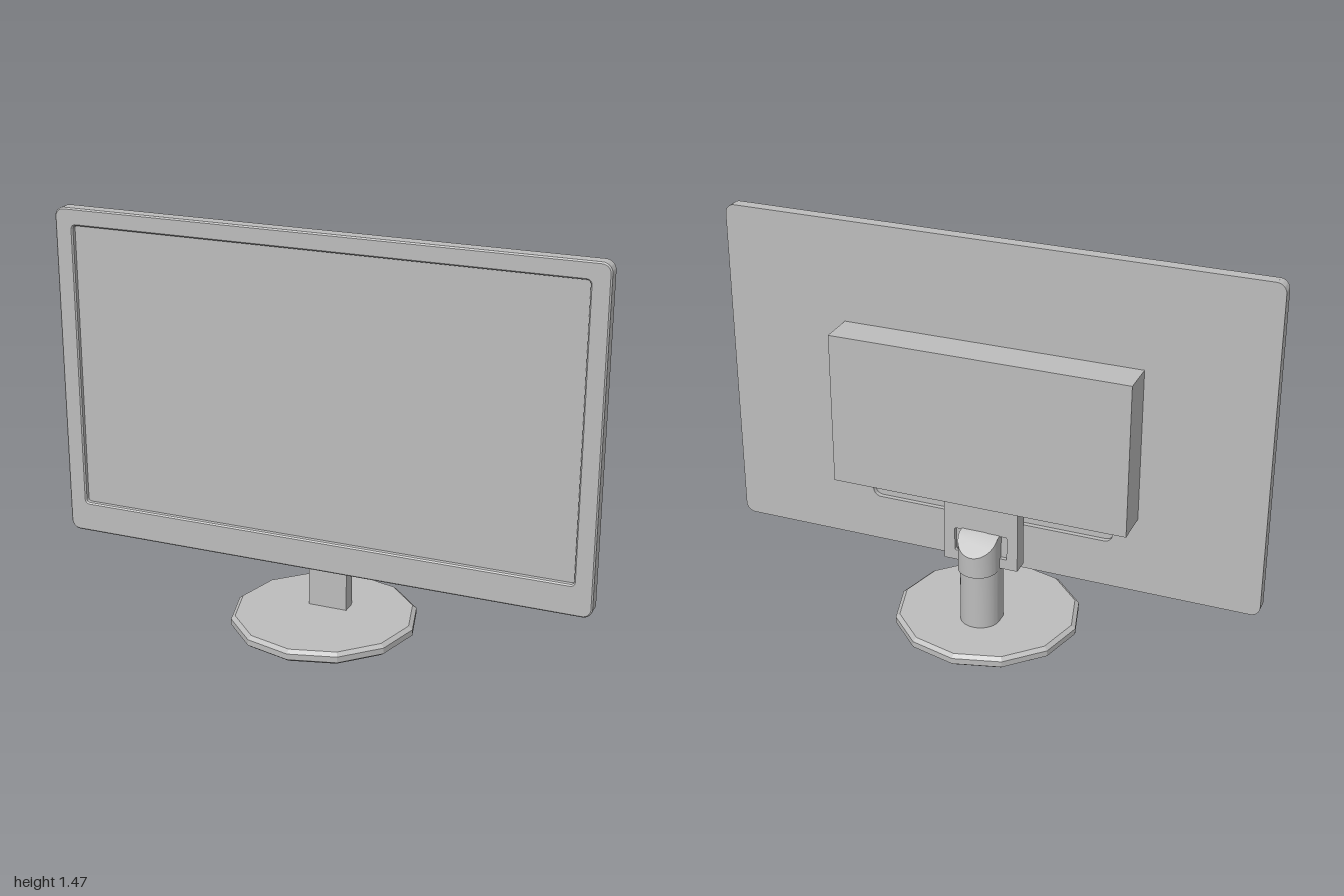
import * as THREE from 'three';
import { toCreasedNormals } from 'three/addons/utils/BufferGeometryUtils.js';

const grey = new THREE.MeshStandardMaterial({ color: 0xbcbcbc });
grey.name = 'plain grey';

// Rounded rectangle outline between two corners
function roundedRect(x0, y0, x1, y1, r, Type = THREE.Shape) {
  const s = new Type();
  s.moveTo(x0 + r, y0);
  s.lineTo(x1 - r, y0);
  s.absarc(x1 - r, y0 + r, r, -Math.PI / 2, 0);
  s.lineTo(x1, y1 - r);
  s.absarc(x1 - r, y1 - r, r, 0, Math.PI / 2);
  s.lineTo(x0 + r, y1);
  s.absarc(x0 + r, y1 - r, r, Math.PI / 2, Math.PI);
  s.lineTo(x0, y0 + r);
  s.absarc(x0 + r, y0 + r, r, Math.PI, Math.PI * 1.5);
  return s;
}

// D-shaped outline: flat front, half-round back (shape y is -z)
function dShape(r, front, centre) {
  const s = new THREE.Shape();
  s.moveTo(-r, -front);
  s.lineTo(r, -front);
  s.lineTo(r, -centre);
  s.absarc(0, -centre, r, 0, Math.PI);
  s.lineTo(-r, -front);
  return s;
}

// Straight extrusion from z0 to z1
function slab(shape, z0, z1) {
  return new THREE.ExtrudeGeometry(shape, { depth: z1 - z0, bevelEnabled: false, curveSegments: 8 })
    .translate(0, 0, z0);
}

// Upright extrusion from y0 to y1
function upright(shape, y0, y1) {
  return new THREE.ExtrudeGeometry(shape, { depth: y1 - y0, bevelEnabled: false, curveSegments: 16 })
    .rotateX(-Math.PI / 2).translate(0, y0, 0);
}

function box(x0, x1, y0, y1, z0, z1) {
  return new THREE.BoxGeometry(x1 - x0, y1 - y0, z1 - z0)
    .translate((x0 + x1) / 2, (y0 + y1) / 2, (z0 + z1) / 2);
}

export function createModel() {
  const group = new THREE.Group();
  group.name = 'monitor';
  const add = (name, geometry, crease = 0.6) => {
    const mesh = new THREE.Mesh(toCreasedNormals(geometry, crease), grey);
    mesh.name = name;
    group.add(mesh);
  };

  // Front frame with a small bevel around the sunken screen
  const b = 0.005;
  const frame = roundedRect(-1 + b, 0.233 + b, 1 - b, 1.465 - b, 0.03);
  frame.holes.push(roundedRect(-0.932 - b, 0.347 - b, 0.932 + b, 1.402 + b, 0.018, THREE.Path));
  add('frontFrame', new THREE.ExtrudeGeometry(frame, {
    depth: 0.02, bevelThickness: b, bevelSize: b, bevelSegments: 1, curveSegments: 8,
  }).translate(0, 0, 0.045));

  // Screen plate and rear shell with a shallow recess
  const outline = () => roundedRect(-1, 0.233, 1, 1.465, 0.035);
  add('screenPlate', slab(outline(), 0.038, 0.05));
  const shell = outline();
  shell.holes.push(roundedRect(-0.46, 0.41, 0.46, 0.8, 0.03, THREE.Path));
  add('rearShell', slab(shell, 0.02, 0.038));

  // Electronics housing
  add('rearHousing', box(-0.55, 0.55, 0.522, 1.09, -0.113, 0.04));

  // Mounting bracket with a slot for the hinge
  const bracket = new THREE.Shape([
    new THREE.Vector2(-0.14, 0.268), new THREE.Vector2(0.14, 0.268),
    new THREE.Vector2(0.14, 0.53), new THREE.Vector2(-0.14, 0.53)]);
  bracket.holes.push(roundedRect(-0.1, 0.307, 0.1, 0.398, 0.005, THREE.Path));
  add('bracket', slab(bracket, -0.07, -0.008));
  add('hinge', box(-0.1, 0.1, 0.307, 0.398, -0.055, 0.005));

  // Collar with a top that slopes down to the back
  const collar = upright(dShape(0.073, -0.055, -0.092), 0.265, 0.4);
  const p = collar.attributes.position;
  for (let i = 0; i < p.count; i++) {
    if (p.getY(i) > 0.3) p.setY(i, 0.345 + 0.72 * Math.min(p.getZ(i) + 0.165, 0.085));
  }
  add('collar', collar);

  // Neck post
  add('neck', upright(dShape(0.073, -0.03, -0.072), 0.04, 0.268));

  // Twelve-sided foot with bevelled rims
  const profile = [[0, 0.004], [0.325, 0.004], [0.34, 0.015], [0.34, 0.037], [0.325, 0.049], [0, 0.049]]
    .map(([x, y]) => new THREE.Vector2(x, y));
  add('base', new THREE.LatheGeometry(profile, 12).translate(0, -0.004, 0), 0.1);

  return group;
}
